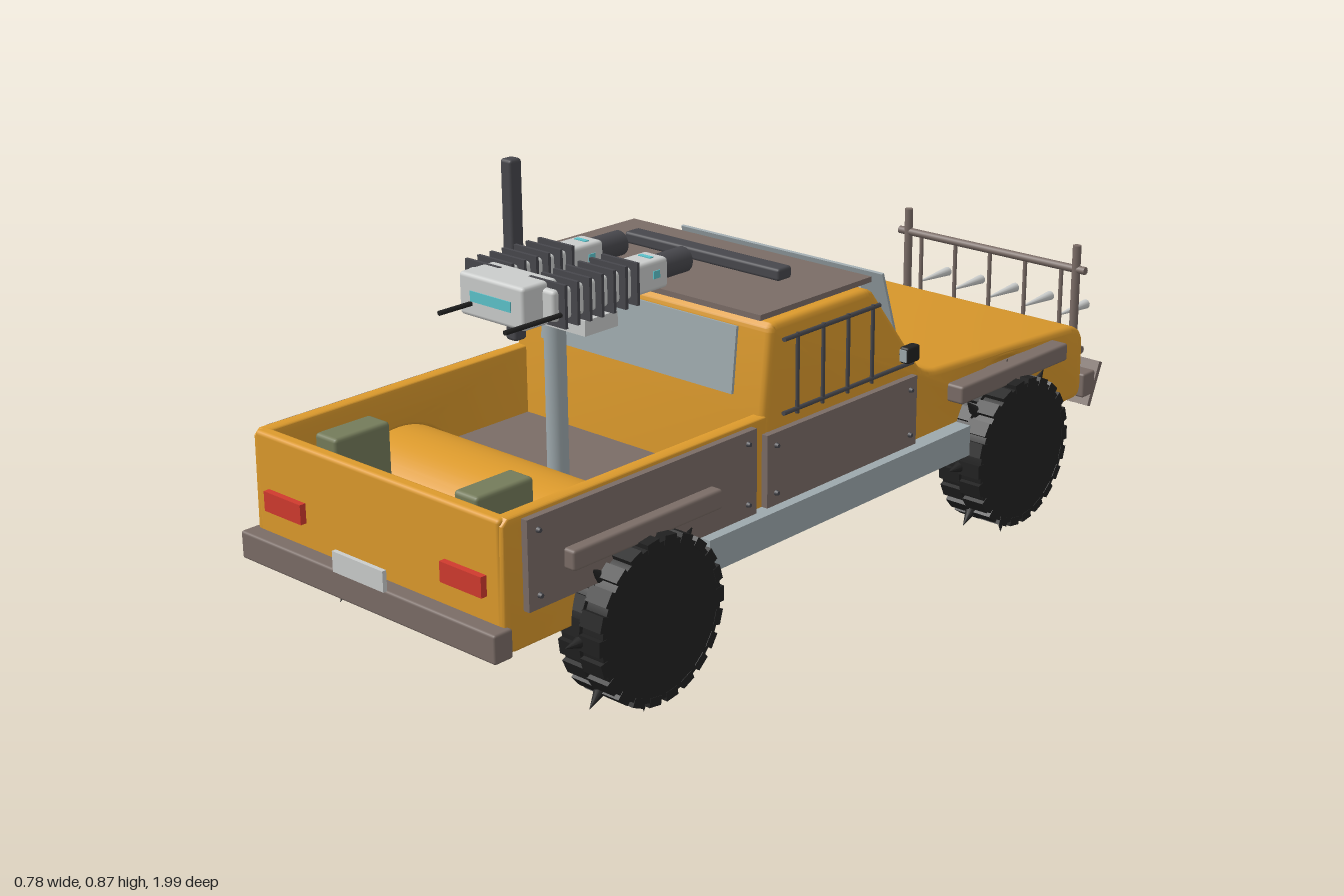
import * as THREE from 'three';
import { toCreasedNormals } from 'three/addons/utils/BufferGeometryUtils.js';
import { RoundedBoxGeometry } from 'three/addons/geometries/RoundedBoxGeometry.js';

function material(name, color, side = THREE.FrontSide) {
  const m = new THREE.MeshStandardMaterial({ color, side });
  m.name = name;
  return m;
}

export function createModel() {
  const truck = new THREE.Group();
  truck.name = 'armouredPickup';
  const paint = material('orangePaint', 0xdc9a2c, THREE.DoubleSide);
  const rust = material('brownArmour', 0x7a6c66);
  const glass = material('greyGlass', 0x9da8ac);
  const pale = material('paleMetal', 0xcacccb);
  const dark = material('darkMetal', 0x47474c);
  const rubber = material('rubber', 0x212121);
  const red = material('tailRed', 0xd03a2e);
  const cyan = material('cyanGlow', 0x5cc2ca);
  const green = material('canGreen', 0x747b5a);

  const add = (name, geo, mat, parent = truck) => {
    const mesh = new THREE.Mesh(geo, mat);
    mesh.name = name;
    parent.add(mesh);
    return mesh;
  };
  // Box given by its extents on each axis
  const box = (name, mat, x0, x1, y0, y1, z0, z1, round = 0) => {
    const s = [x1 - x0, y1 - y0, z1 - z0];
    const geo = round ? new RoundedBoxGeometry(...s, 2, round) : new THREE.BoxGeometry(...s);
    const mesh = add(name, geo, mat);
    mesh.position.set((x0 + x1) / 2, (y0 + y1) / 2, (z0 + z1) / 2);
    return mesh;
  };
  // Round bar, or cone, between two points
  const rod = (name, mat, a, b, r0, r1 = r0, sides = 10) => {
    const p = new THREE.Vector3(...a), q = new THREE.Vector3(...b);
    const mesh = add(name, new THREE.CylinderGeometry(r1, r0, p.distanceTo(q), sides), mat);
    mesh.position.copy(p).add(q).multiplyScalar(0.5);
    mesh.quaternion.setFromUnitVectors(new THREE.Vector3(0, 1, 0), q.sub(p).normalize());
    return mesh;
  };
  // Tilted plate spanning x, between two (z, y) points
  const slab = (name, mat, w, [z0, y0], [z1, y1], t) => {
    const mesh = add(name, new THREE.BoxGeometry(w, Math.hypot(z1 - z0, y1 - y0), t), mat);
    mesh.position.set(0, (y0 + y1) / 2, (z0 + z1) / 2);
    mesh.rotation.x = Math.atan2(z1 - z0, y1 - y0);
    return mesh;
  };
  // Side profile (drawn with u = -z) extruded across x
  const profile = (name, shape, x0, x1, bevel) => {
    const geo = new THREE.ExtrudeGeometry(shape, {
      depth: x1 - x0 - 2 * bevel, bevelThickness: bevel, bevelSize: bevel,
      bevelOffset: -bevel, bevelSegments: 3, curveSegments: 20,
    });
    geo.translate(0, 0, x0 + bevel).rotateY(Math.PI / 2);
    return add(name, toCreasedNormals(geo, 0.6), paint);
  };

  const archY = 0.225, archR = 0.165, rearZ = 0.63, frontZ = -0.48;

  // Cab and bonnet
  const cab = new THREE.Shape();
  cab.moveTo(-0.29, archY);
  cab.lineTo(0.48 - archR, archY);
  cab.absarc(0.48, archY, archR, Math.PI, 0, true);
  cab.lineTo(0.765, archY);
  cab.quadraticCurveTo(0.785, 0.23, 0.785, 0.26);
  cab.lineTo(0.785, 0.345);
  cab.quadraticCurveTo(0.785, 0.39, 0.735, 0.397);
  cab.lineTo(0.25, 0.428);
  cab.quadraticCurveTo(0.21, 0.432, 0.19, 0.45);
  cab.lineTo(0.04, 0.636);
  cab.quadraticCurveTo(0.03, 0.648, 0.01, 0.648);
  cab.lineTo(-0.25, 0.648);
  cab.quadraticCurveTo(-0.27, 0.648, -0.272, 0.63);
  cab.lineTo(-0.29, 0.47);
  profile('cabBody', cab, -0.332, 0.332, 0.014);

  // Cargo bed: sides with wheel openings, tailgate, hump and floor
  for (const [x0, x1] of [[-0.332, -0.302], [0.302, 0.332]]) {
    const side = new THREE.Shape();
    side.moveTo(-0.925, archY);
    side.lineTo(-rearZ - archR, archY);
    side.absarc(-rearZ, archY, archR, Math.PI, 0, true);
    side.lineTo(-0.28, archY);
    side.lineTo(-0.28, 0.472);
    side.lineTo(-0.94, 0.472);
    side.lineTo(-0.952, 0.46);
    side.lineTo(-0.955, 0.26);
    side.quadraticCurveTo(-0.955, archY, -0.925, archY);
    profile('bedSide', side, x0, x1, 0.006);
  }
  box('tailgate', paint, -0.325, 0.325, 0.23, 0.472, 0.927, 0.955, 0.008);
  box('rearUnderside', paint, -0.31, 0.31, 0.225, 0.235, rearZ + archR, 0.94);
  const hump = new THREE.CylinderGeometry(archR, archR, 0.62, 28, 1, true, 0, Math.PI);
  add('wheelHump', hump.rotateZ(Math.PI / 2), paint).position.set(0, archY, rearZ);
  box('bedFloorFront', rust, -0.305, 0.305, 0.318, 0.33, 0.285, 0.503);
  box('bedFloorRear', rust, -0.305, 0.305, 0.318, 0.33, 0.757, 0.93);
  box('greenCan', green, -0.22, -0.16, 0.33, 0.477, 0.77, 0.9, 0.008);
  box('greenCan', green, 0.175, 0.235, 0.33, 0.477, 0.785, 0.92, 0.008);

  // Windows and hinged windscreen shield
  slab('rearWindow', glass, 0.51, [0.29, 0.5], [0.276, 0.63], 0.006);
  slab('windscreen', glass, 0.58, [-0.197, 0.447], [-0.046, 0.636], 0.008);
  slab('windscreenShield', glass, 0.54, [-0.185, 0.51], [-0.142, 0.64], 0.006);
  for (let i = 0; i < 6; i++) {
    const x = -0.235 + i * 0.094;
    rod('shieldRod', dark, [x, 0.57, -0.172], [x, 0.45, -0.205], 0.004, 0.004, 6);
  }

  // Roof armour and light bar
  box('roofPlate', rust, -0.317, 0.317, 0.655, 0.666, -0.045, 0.283);
  box('roofPlateSpacer', rust, -0.28, 0.28, 0.645, 0.656, 0, 0.24);
  box('lightBar', dark, -0.205, 0.205, 0.665, 0.69, 0.06, 0.1, 0.006);

  // Side armour, mirrored
  for (const s of [-1, 1]) {
    const sideBox = (name, mat, a, b, ...rest) =>
      box(name, mat, Math.min(s * a, s * b), Math.max(s * a, s * b), ...rest);
    sideBox('bedPanel', rust, 0.33, 0.346, 0.295, 0.464, 0.325, 0.91);
    sideBox('doorPanel', rust, 0.33, 0.346, 0.295, 0.44, -0.162, 0.295);
    sideBox('sideSkirt', glass, 0.325, 0.368, 0.23, 0.295, -0.318, 0.48);
    sideBox('rearFender', rust, 0.33, 0.37, 0.348, 0.387, 0.445, 0.825, 0.006);
    sideBox('frontFender', rust, 0.325, 0.37, 0.348, 0.387, -0.665, -0.285, 0.006);
    for (const [z0, z1, y1] of [[0.35, 0.885, 0.44], [-0.14, 0.27, 0.415]])
      for (const z of [z0, z1]) for (const y of [0.32, y1])
        rod('panelBolt', dark, [s * 0.345, y, z], [s * 0.353, y, z], 0.006, 0.004, 8);
    // Window bars
    for (const y of [0.47, 0.615])
      rod('windowRail', dark, [s * 0.342, y, 0.245], [s * 0.342, y, y < 0.5 ? -0.15 : -0.04], 0.005, 0.005, 6);
    for (const z of [0.205, 0.13, 0.055, -0.02])
      rod('windowBar', dark, [s * 0.342, 0.46, z], [s * 0.342, 0.62, z], 0.004, 0.004, 6);
    // Mirror, lamps
    rod('mirrorArm', rubber, [s * 0.32, 0.49, -0.125], [s * 0.35, 0.495, -0.125], 0.006);
    sideBox('mirror', rubber, 0.343, 0.365, 0.48, 0.514, -0.145, -0.105, 0.005);
    sideBox('mirrorGlass', glass, 0.346, 0.362, 0.485, 0.509, -0.106, -0.102);
    sideBox('tailLight', red, 0.187, 0.291, 0.325, 0.364, 0.95, 0.968);
    sideBox('headlight', pale, 0.185, 0.285, 0.3, 0.355, -0.797, -0.775, 0.006);
  }
  box('grille', rubber, -0.17, 0.17, 0.295, 0.36, -0.795, -0.775);
  for (const y of [0.312, 0.335]) box('grilleBar', dark, -0.165, 0.165, y, y + 0.007, -0.799, -0.79);

  // Bumpers, rear plate, ram bars and plough
  box('rearBumper', rust, -0.342, 0.342, 0.223, 0.278, 0.945, 0.988, 0.005);
  box('rearPlate', pale, -0.068, 0.068, 0.278, 0.318, 0.986, 0.995);
  box('frontBumper', rust, -0.34, 0.34, 0.223, 0.278, -0.825, -0.78, 0.005);
  for (const x of [-0.235, 0.235]) {
    rod('ramPost', rust, [x, 0.23, -0.89], [x, 0.53, -0.89], 0.01);
    rod('ramBracket', rust, [x, 0.27, -0.8], [x, 0.29, -0.89], 0.008);
  }
  for (const y of [0.29, 0.475]) rod('ramRail', rust, [-0.26, y, -0.89], [0.26, y, -0.89], 0.009);
  for (let i = -2; i <= 2; i++) {
    rod('ramBar', rust, [i * 0.098, 0.285, -0.89], [i * 0.098, 0.48, -0.89], 0.005);
    rod('ramSpike', pale, [i * 0.098, 0.36, -0.89], [i * 0.098, 0.36, -0.998], 0.002, 0.011);
  }
  slab('plough', rust, 0.58, [-0.883, 0.165], [-0.925, 0.26], 0.012);

  // Exhaust stack
  box('exhaustStack', dark, -0.307, -0.276, 0.497, 0.87, 0.31, 0.342, 0.007);

  // Twin gun mount
  rod('gunPost', glass, [0, 0.32, 0.5], [0, 0.65, 0.5], 0.021, 0.021, 24);
  box('gunBase', pale, -0.12, 0.12, 0.645, 0.675, 0.455, 0.54);
  box('gunControlBox', pale, -0.085, 0.085, 0.674, 0.756, 0.57, 0.658, 0.008);
  box('controlScreen', cyan, -0.053, 0.053, 0.705, 0.725, 0.655, 0.66);
  for (const x of [-0.086, 0.083]) {
    box('gunBody', pale, x - 0.03, x + 0.03, 0.685, 0.745, 0.31, 0.61, 0.008);
    for (let i = 0; i < 7; i++) {
      const z = 0.405 + i * 0.031;
      box('coolingFin', dark, x - 0.046, x + 0.046, 0.675, 0.757, z, z + 0.007);
    }
    rod('muzzle', dark, [x, 0.718, 0.32], [x, 0.718, 0.237], 0.025, 0.025, 20);
    rod('muzzleGlow', cyan, [x, 0.718, 0.24], [x, 0.718, 0.234], 0.018, 0.018, 20);
    box('gunLight', cyan, x - 0.032, x + 0.032, 0.71, 0.725, 0.335, 0.352);
    box('gunTopLight', cyan, x - 0.015, x + 0.015, 0.74, 0.747, 0.335, 0.345);
  }
  for (const x of [-0.053, 0.118]) rod('gunHandle', rubber, [x, 0.7, 0.59], [x, 0.7, 0.735], 0.005, 0.005, 8);

  // Spiked wheels
  const tyre = new THREE.CylinderGeometry(0.153, 0.153, 0.1, 40).rotateZ(Math.PI / 2);
  const block = new THREE.BoxGeometry(0.052, 0.018, 0.03);
  const spike = new THREE.ConeGeometry(0.014, 0.045, 10);
  for (const x of [-0.341, 0.341]) for (const z of [rearZ, frontZ]) {
    const wheel = new THREE.Group();
    wheel.name = 'wheel';
    wheel.position.set(x, 0.196, z);
    truck.add(wheel);
    add('tyre', tyre, rubber, wheel);
    const ring = (name, geo, count, r, px, phase) => {
      for (let i = 0; i < count; i++) {
        const a = (i + phase) / count * Math.PI * 2;
        const m = add(name, geo, rubber, wheel);
        m.position.set(px, r * Math.cos(a), r * Math.sin(a));
        m.rotation.x = a;
      }
    };
    ring('treadBlock', block, 22, 0.152, -0.025, 0);
    ring('treadBlock', block, 22, 0.152, 0.025, 0.5);
    ring('wheelSpike', spike, 8, 0.1735, 0, 0);
  }
  return truck;
}
